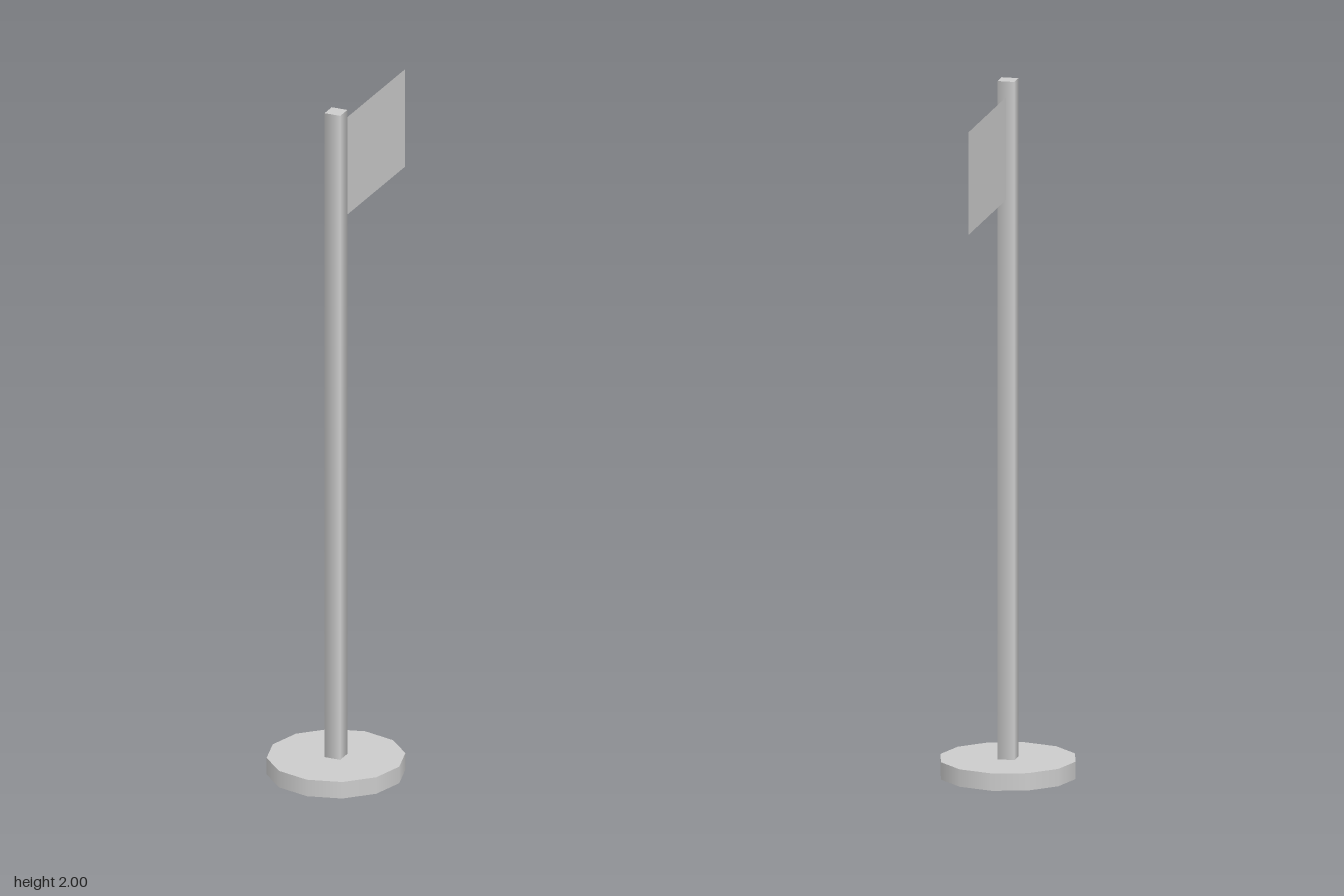
import * as THREE from 'three';

export function createModel() {
  const group = new THREE.Group();
  const grey = new THREE.MeshStandardMaterial({ color: 0xcccccc });
  const cloth = new THREE.MeshStandardMaterial({ color: 0xcccccc, side: THREE.DoubleSide });
  const poleZ = 0.133, poleHalf = 0.024, baseHeight = 0.05, height = 2;

  const add = (name, geometry, material, y, z) => {
    const mesh = new THREE.Mesh(geometry, material);
    mesh.name = name;
    mesh.position.set(0, y, z);
    group.add(mesh);
  };

  // twelve-sided foot plate
  add('base', new THREE.CylinderGeometry(0.195, 0.195, baseHeight, 12), grey, baseHeight / 2, poleZ);

  // square pole, shaded smoothly around its corners
  const poleHeight = height - baseHeight;
  const pole = new THREE.CylinderGeometry(poleHalf * Math.SQRT2, poleHalf * Math.SQRT2, poleHeight, 4);
  pole.rotateY(Math.PI / 4);
  add('pole', pole, grey, baseHeight + poleHeight / 2, poleZ);

  // flat flag flying backwards from the pole
  const flagFront = poleZ - poleHalf, flagBack = -0.327;
  const flag = new THREE.PlaneGeometry(flagFront - flagBack, 0.295);
  flag.rotateY(Math.PI / 2);
  add('flag', flag, cloth, 1.807, (flagFront + flagBack) / 2);

  return group;
}
